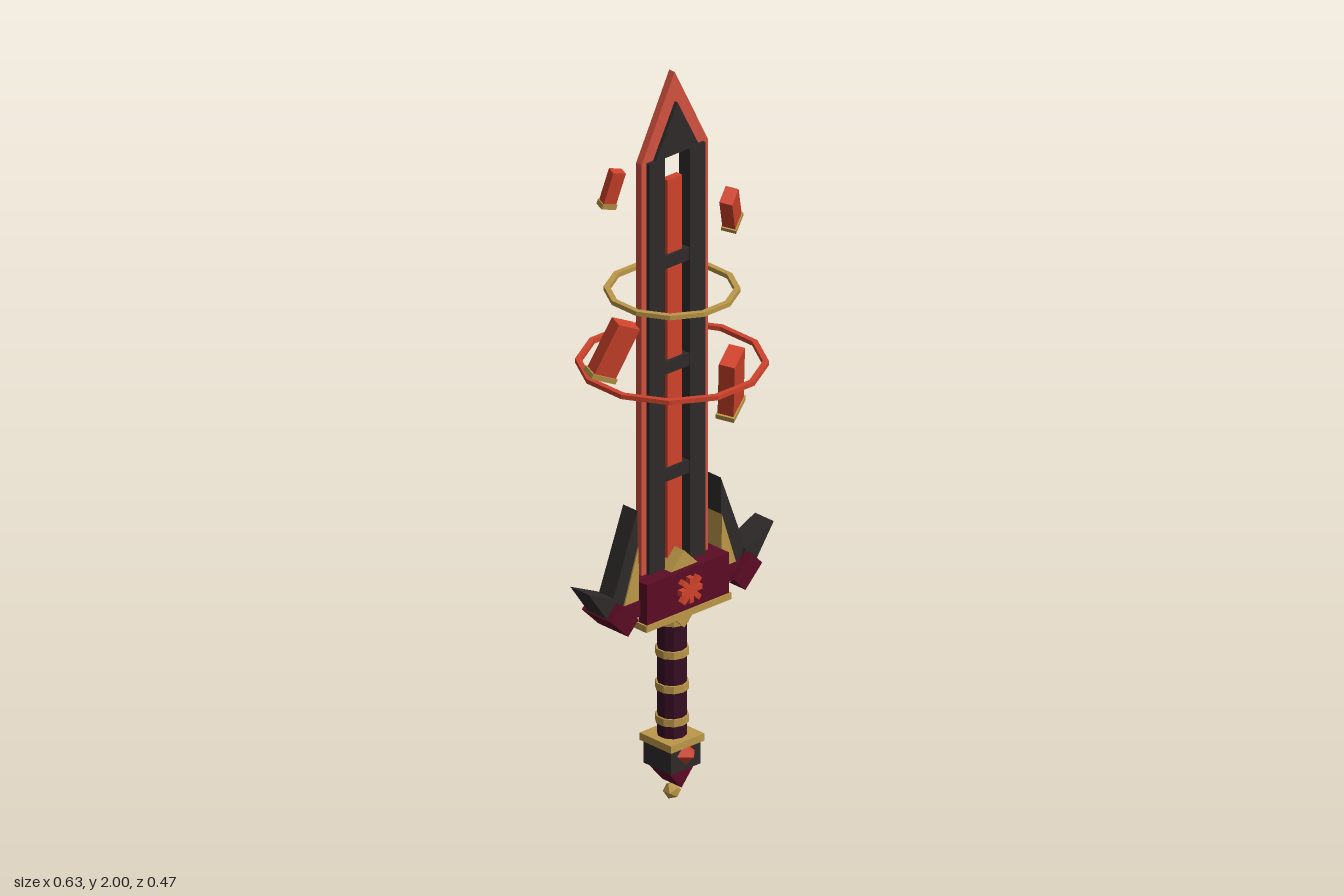
import * as THREE from 'three';

const mat = (name, color) => {
  const m = new THREE.MeshStandardMaterial({ color });
  m.name = name;
  m.flatShading = true;
  return m;
};

export function createModel() {
  const root = new THREE.Group();
  root.name = 'sword';
  const red = mat('glowing red', 0xd0432c);
  const edgeRed = mat('edge red', 0xd2523f);
  const dark = mat('dark steel', 0x2e2a2a);
  const maroon = mat('maroon', 0x5c0c24);
  const wrap = mat('grip wrap', 0x360d24);
  const gold = mat('gold', 0xbc9848);

  const add = (name, geo, m, x = 0, y = 0, z = 0, parent = root) => {
    const mesh = new THREE.Mesh(geo, m);
    mesh.name = name;
    mesh.position.set(x, y, z);
    parent.add(mesh);
    return mesh;
  };
  const box = (name, m, w, h, d, x, y, z, parent) =>
    add(name, new THREE.BoxGeometry(w, h, d), m, x, y, z, parent);
  // Flat outline, extruded evenly to both sides of z = 0
  const plate = (name, m, pts, halfDepth, hole) => {
    const shape = new THREE.Shape(pts.map(p => new THREE.Vector2(...p)));
    if (hole) shape.holes.push(new THREE.Path(hole.map(p => new THREE.Vector2(...p))));
    const geo = new THREE.ExtrudeGeometry(shape, { depth: halfDepth * 2, bevelEnabled: false });
    geo.translate(0, 0, -halfDepth);
    return add(name, geo, m);
  };

  // Blade: red edge frame with an open slot, dark rails, dark point, inner core
  plate('bladeEdge', edgeRed,
    [[-0.113, 0.6], [0.113, 0.6], [0.113, 1.78], [0, 2], [-0.113, 1.78]], 0.01,
    [[-0.043, 0.62], [-0.043, 1.78], [0.043, 1.78], [0.043, 0.62]]);
  plate('bladePoint', dark, [[-0.074, 1.78], [0.074, 1.78], [0, 1.92]], 0.02);
  for (const s of [-1, 1]) box('bladeRail', dark, 0.054, 1.18, 0.04, s * 0.069, 1.19, 0);
  box('bladeCore', red, 0.05, 1.11, 0.02, 0, 1.155, 0);
  for (const y of [0.905, 1.2, 1.49]) box('bladeCrossbar', dark, 0.09, 0.034, 0.036, 0, y, 0);

  // Guard block with gold base and a gold diamond passing through it
  box('guard', maroon, 0.28, 0.112, 0.116, 0, 0.595, 0);
  box('guardBase', gold, 0.29, 0.018, 0.122, 0, 0.531, 0);
  plate('guardDiamond', gold, [[0, 0.485], [0.105, 0.59], [0, 0.697], [-0.105, 0.59]], 0.045);

  // Star emblem on both faces of the guard
  for (const s of [-1, 1]) {
    const emblem = new THREE.Group();
    emblem.name = 'emblem';
    emblem.position.set(0, 0.597, s * 0.058);
    root.add(emblem);
    for (let i = 0; i < 4; i++) {
      const bar = box('emblemBar', red, 0.014, i % 2 ? 0.082 : 0.07, 0.028, 0, 0, 0, emblem);
      bar.rotation.z = i * Math.PI / 4;
      bar.scale.z = 1 + i * 0.03;
    }
  }

  // Wings on both sides of the guard
  for (const s of [-1, 1]) {
    const side = pts => pts.map(([x, y]) => [s * x, y]);
    plate('wingBlock', maroon,
      side([[0.2, 0.527], [0.257, 0.584], [0.222, 0.62], [0.165, 0.563]]), 0.054);
    plate('wingRoot', maroon, side([[0.13, 0.56], [0.2, 0.55], [0.2, 0.6], [0.13, 0.6]]), 0.034);
    plate('wingFin', gold, side([[0.14, 0.545], [0.19, 0.555], [0.19, 0.6], [0.142, 0.745]]), 0.03);
    plate('tallSpike', dark,
      side([[0.142, 0.845], [0.142, 0.74], [0.18, 0.585], [0.215, 0.575], [0.232, 0.61]]), 0.026);
    plate('outerSpike', dark,
      side([[0.315, 0.672], [0.22, 0.628], [0.205, 0.59], [0.245, 0.572]]), 0.034);
  }

  // Grip with gold bands
  add('grip', new THREE.CylinderGeometry(0.038, 0.038, 0.36, 10), wrap, 0, 0.345, 0);
  for (const y of [0.5, 0.41, 0.316, 0.225]) {
    add('gripBand', new THREE.CylinderGeometry(0.043, 0.043, 0.02, 10), gold, 0, y, 0);
  }

  // Pommel
  box('pommelCollar', gold, 0.114, 0.02, 0.114, 0, 0.17, 0);
  box('pommel', dark, 0.1, 0.065, 0.1, 0, 0.13, 0);
  plate('pommelWedge', maroon, [[0, 0.042], [0.05, 0.1], [-0.05, 0.1]], 0.035);
  add('pommelTip', new THREE.IcosahedronGeometry(0.023, 0), gold, 0, 0.023, 0);
  for (const s of [-1, 1]) {
    add('pommelGem', new THREE.OctahedronGeometry(0.03), red, 0, 0.14, s * 0.05);
  }

  // Twelve-sided rings floating around the blade
  const ring = (name, m, r, y) => {
    const [a, b, h] = [r - 0.015, r, 0.006];
    const profile = [[b, -h], [b, h], [a, h], [a, -h], [b, -h]].map(p => new THREE.Vector2(...p));
    add(name, new THREE.LatheGeometry(profile, 12, Math.PI / 12), m, 0, y, 0);
  };
  ring('largeRing', red, 0.241, 1.2);
  ring('smallRing', gold, 0.17, 1.4);

  // Floating shards with gold feet: x, y, width, height, depth, yaw, roll
  for (const [x, y, w, h, d, yaw, roll] of [
    [-0.205, 1.742, 0.036, 0.09, 0.026, -0.3, -0.2],
    [0.2, 1.555, 0.05, 0.115, 0.034, 0.5, 0.5],
    [-0.202, 1.297, 0.066, 0.145, 0.04, -0.3, -0.38],
    [0.202, 1.078, 0.078, 0.17, 0.042, 0.5, 0.24],
  ]) {
    const shard = new THREE.Group();
    shard.name = 'shard';
    shard.position.set(x, y, 0);
    shard.rotation.set(0.14, yaw, roll);
    root.add(shard);
    box('shardBody', red, w, h, d, 0, 0.006, 0, shard);
    box('shardFoot', gold, w * 1.15, 0.014, d * 1.15, 0, -h / 2, 0, shard);
  }

  return root;
}
